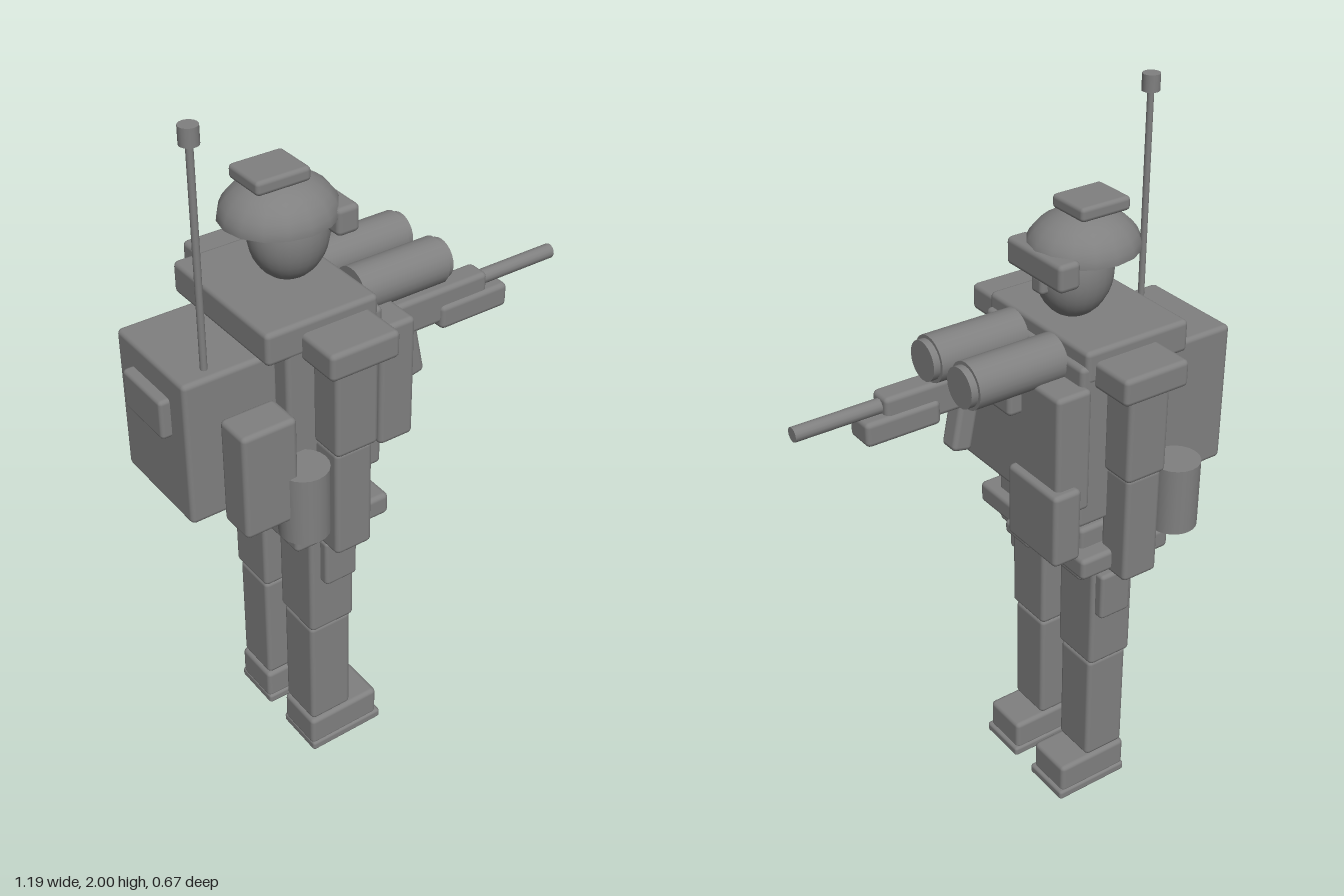
import * as THREE from 'three';
import { RoundedBoxGeometry } from 'three/addons/geometries/RoundedBoxGeometry.js';

export function createModel() {
  const model = new THREE.Group();
  model.name = 'soldier';
  const grey = new THREE.MeshStandardMaterial({ color: 0x808080 });
  grey.name = 'grey';
  const greyOpen = new THREE.MeshStandardMaterial({ color: 0x808080, side: THREE.DoubleSide });
  greyOpen.name = 'grey';

  const add = (name, geometry, x, y, z, material = grey) => {
    const mesh = new THREE.Mesh(geometry, material);
    mesh.name = name;
    mesh.position.set(x, y, z);
    model.add(mesh);
    return mesh;
  };
  // Softly bevelled box given by its limits on each axis
  const box = (name, x0, x1, y0, y1, z0, z1) => {
    const s = [x1 - x0, y1 - y0, z1 - z0];
    const r = Math.min(0.014, Math.min(...s) * 0.3);
    return add(name, new RoundedBoxGeometry(...s, 2, r), (x0 + x1) / 2, (y0 + y1) / 2, (z0 + z1) / 2);
  };
  // The same box on both sides of the body
  const pair = (name, x0, x1, y0, y1, z0, z1) => {
    box(name + 'Left', x0, x1, y0, y1, -z1, -z0);
    box(name + 'Right', x0, x1, y0, y1, z0, z1);
  };
  const upright = (name, r, y0, y1, x, z, sides = 20) =>
    add(name, new THREE.CylinderGeometry(r, r, y1 - y0, sides), x, (y0 + y1) / 2, z);
  const along = (name, r, x0, x1, y, z, sides = 24) => {
    const mesh = add(name, new THREE.CylinderGeometry(r, r, x1 - x0, sides), (x0 + x1) / 2, y, z);
    mesh.rotation.z = -Math.PI / 2;
    return mesh;
  };

  // Legs and boots
  pair('thigh', -0.25, -0.11, 0.465, 0.79, 0.037, 0.19);
  pair('shin', -0.245, -0.115, 0.115, 0.465, 0.045, 0.18);
  pair('boot', -0.25, -0.025, 0.02, 0.115, 0.042, 0.185);
  pair('sole', -0.25, -0.015, 0, 0.03, 0.037, 0.19);
  pair('thighPouch', -0.22, -0.12, 0.64, 0.785, 0.18, 0.218);

  // Hips and belt
  box('pelvis', -0.295, -0.065, 0.775, 0.945, -0.19, 0.19);
  box('belt', -0.325, -0.035, 0.82, 0.885, -0.24, 0.24);
  box('buckle', -0.045, 0.01, 0.835, 0.877, -0.055, 0.055);

  // Torso and vest
  box('torso', -0.32, -0.04, 0.97, 1.44, -0.21, 0.21);
  box('collar', -0.375, -0.055, 1.39, 1.48, -0.212, 0.212);
  box('chestPlate', -0.06, 0.045, 1.04, 1.39, -0.23, 0.23);
  box('chestPouch', -0.02, 0.065, 0.91, 1.125, -0.25, -0.04);

  // Arms
  pair('shoulderPad', -0.278, -0.08, 1.375, 1.45, 0.19, 0.333);
  pair('upperArm', -0.245, -0.12, 1.125, 1.38, 0.2, 0.305);
  pair('forearm', -0.24, -0.13, 0.81, 1.13, 0.19, 0.295);

  // Backpack, pockets, canteens and aerial
  box('backpack', -0.57, -0.31, 0.977, 1.385, -0.157, 0.157);
  box('backPocket', -0.598, -0.56, 1.205, 1.315, -0.09, 0.09);
  box('sidePouch', -0.497, -0.345, 0.985, 1.285, 0.185, 0.29);
  for (const s of [-1, 1]) upright('canteen', 0.066, 0.92, 1.115, -0.315, s * 0.262);
  upright('aerial', 0.009, 1.36, 1.97, -0.49, 0.118, 12);
  upright('aerialTip', 0.024, 1.955, 2, -0.49, 0.118, 16);

  // Head, nose and goggles
  add('head', new THREE.SphereGeometry(1, 24, 18), -0.17, 1.6, 0).scale.set(0.106, 0.131, 0.095);
  box('nose', -0.09, -0.05, 1.558, 1.608, -0.024, 0.024);
  box('goggles', -0.105, -0.04, 1.6, 1.675, -0.115, 0.115);

  // Helmet: open dome with a flat pad on top
  const dome = new THREE.SphereGeometry(1, 16, 8, 0, Math.PI * 2, 0, Math.PI / 2);
  add('helmet', dome, -0.195, 1.648, 0, greyOpen).scale.set(0.153, 0.103, 0.141);
  box('helmetPad', -0.293, -0.142, 1.742, 1.78, -0.064, 0.064);

  // Twin sight tubes and their bridge
  for (const z of [-0.084, 0.082]) {
    along('sightTube', 0.063, -0.045, 0.215, 1.422, z);
    along('sightLens', 0.054, 0.2, 0.234, 1.422, z);
  }
  box('sightBridge', 0, 0.083, 1.28, 1.4, -0.075, 0.06);

  // Rifle
  box('receiver', 0.02, 0.355, 1.26, 1.36, 0.062, 0.132);
  box('handguard', 0.2, 0.417, 1.243, 1.312, 0.053, 0.142);
  along('barrel', 0.02, 0.3, 0.597, 1.328, 0.097, 14);
  box('grip', 0.085, 0.145, 1.125, 1.28, 0.068, 0.13).rotation.z = 0.2;

  return model;
}
